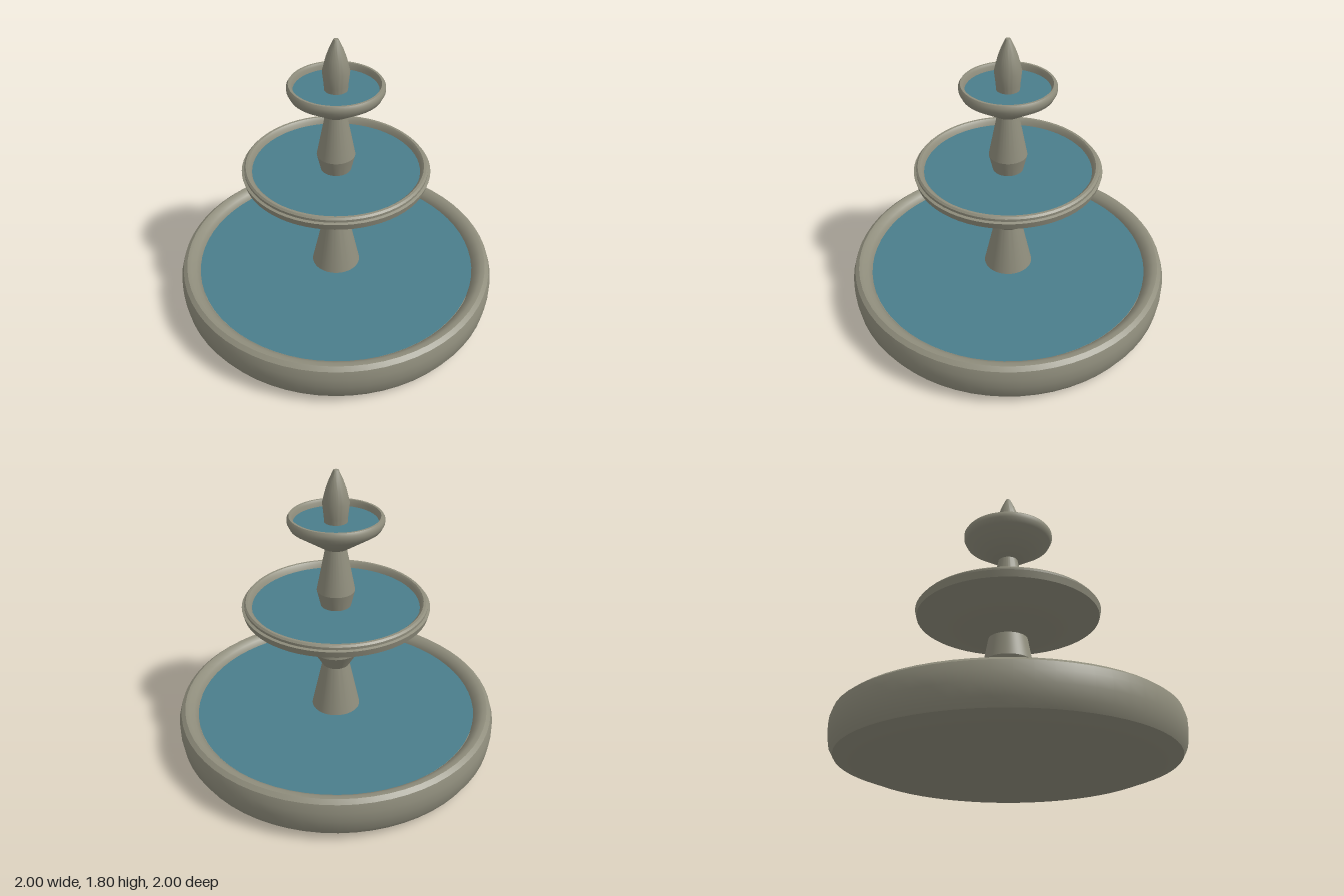
import * as THREE from 'three';
import { toCreasedNormals } from 'three/addons/utils/BufferGeometryUtils.js';

export function createModel() {
  const group = new THREE.Group();
  group.name = 'tieredFountain';

  const stone = new THREE.MeshStandardMaterial({ color: 0x8f8d7c });
  stone.name = 'stone';
  const water = new THREE.MeshStandardMaterial({ color: 0x4a7d8b });
  water.name = 'water';

  // Turned stone part from [radius, height] pairs, bottom to top
  function turned(name, profile, crease = 0.6) {
    const points = profile.map(([r, y]) => new THREE.Vector2(r, y));
    const geometry = toCreasedNormals(new THREE.LatheGeometry(points, 64), crease);
    const mesh = new THREE.Mesh(geometry, stone);
    mesh.name = name;
    group.add(mesh);
  }

  // Flat water surface
  function pool(name, radius, y) {
    const mesh = new THREE.Mesh(new THREE.CircleGeometry(radius, 64), water);
    mesh.rotation.x = -Math.PI / 2;
    mesh.position.y = y;
    mesh.name = name;
    group.add(mesh);
  }

  // Ground basin
  turned('lowerBasin', [
    [0, 0], [0.84, 0], [0.965, 0.045], [0.99, 0.09], [1, 0.16], [1, 0.22], [0.985, 0.27],
    [0.96, 0.29], [0.935, 0.29], [0.905, 0.27], [0.885, 0.245], [0.875, 0.2], [0, 0.2],
  ]);
  pool('lowerWater', 0.88, 0.24);

  // Waisted column between the basin and the middle bowl
  turned('lowerColumn', [[0.16, 0.2], [0.085, 0.545], [0.147, 0.65], [0.115, 0.82]], 0.3);

  // Middle bowl with a stepped lip
  turned('middleBowl', [
    [0, 0.8], [0.165, 0.8], [0.555, 0.93], [0.565, 0.97], [0.55, 0.975], [0.55, 0.99],
    [0.54, 1], [0.525, 1], [0.51, 0.985], [0.5, 0.94], [0, 0.94],
  ]);
  pool('middleWater', 0.504, 0.96);

  // Tapering upper column
  turned('upperColumn', [[0.085, 0.93], [0.115, 1.06], [0.057, 1.36]], 0.3);

  // Small top bowl
  turned('topBowl', [
    [0, 1.34], [0.08, 1.34], [0.265, 1.465], [0.28, 1.495], [0.28, 1.52], [0.27, 1.535],
    [0.257, 1.535], [0.248, 1.52], [0.243, 1.47], [0, 1.47],
  ]);
  pool('topWater', 0.246, 1.495);

  // Bud-shaped finial
  turned('finial', [
    [0.066, 1.46], [0.07, 1.53], [0.079, 1.61], [0.058, 1.695], [0.04, 1.745], [0.015, 1.8], [0, 1.805],
  ]);

  return group;
}
